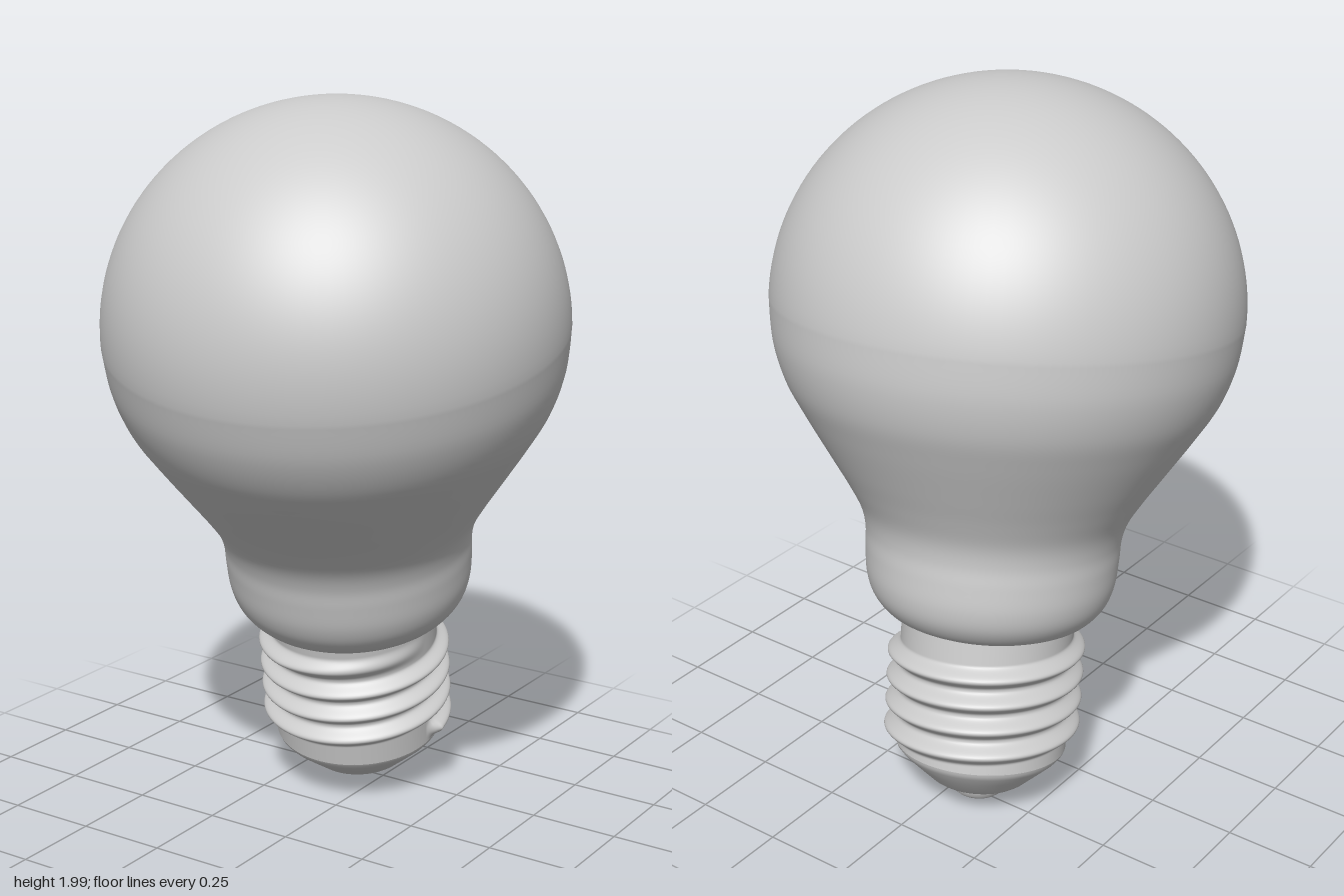
import * as THREE from 'three';
import { mergeVertices, toCreasedNormals } from 'three/addons/utils/BufferGeometryUtils.js';

const material = new THREE.MeshStandardMaterial({ color: 0xcccccc });
const TAU = Math.PI * 2;

function part(name, geometry) {
  const mesh = new THREE.Mesh(geometry, material);
  mesh.name = name;
  return mesh;
}

const vectors = (list) => list.map(([r, y]) => new THREE.Vector2(r, y));

// Glass envelope: rounded collar, flaring neck, slightly flattened globe
function glassGeometry() {
  const collarAndNeck = new THREE.SplineCurve(vectors([
    [0.24, 0.54], [0.283, 0.562], [0.32, 0.605], [0.339, 0.66], [0.345, 0.73],
    [0.348, 0.79], [0.365, 0.85], [0.405, 0.92], [0.457, 1.0], [0.528, 1.11],
    [0.58, 1.2], [0.613, 1.3], [0.626, 1.41],
  ])).getPoints(72);
  const points = [new THREE.Vector2(0.22, 0.538), ...collarAndNeck];
  for (let i = 1; i <= 36; i++) {
    const a = (i / 36) * Math.PI / 2;
    points.push(new THREE.Vector2(i === 36 ? 0 : 0.626 * Math.cos(a), 1.41 + 0.606 * Math.sin(a)));
  }
  return new THREE.LatheGeometry(points, 96);
}

// Screw shell: a cylinder pushed outwards along a right-hand helix of four turns
function threadGeometry() {
  const bottom = 0.165, top = 0.55, root = 0.237, height = 0.034;
  const start = 0.2, pitch = 0.073, turns = 4;
  const geo = new THREE.CylinderGeometry(1, 1, top - bottom, 128, 120, true, Math.PI / 2);
  geo.translate(0, (top + bottom) / 2, 0);
  const pos = geo.attributes.position, uv = geo.attributes.uv;
  for (let i = 0; i < pos.count; i++) {
    const turn = uv.getX(i), y = pos.getY(i);
    let bump = 0;
    for (let k = 0; k < turns; k++) {
      const t = turn + k;
      const d = Math.abs(y - start - pitch * t) / 0.035;
      // blunt start, long fade at the upper end
      const fade = Math.min(1, t / 0.015, (turns - t) / 0.3);
      if (d < 1) bump = Math.max(bump, fade * Math.cos(d * Math.PI / 2) ** 2);
    }
    const r = root + height * bump, a = turn * TAU;
    pos.setXYZ(i, r * Math.cos(a), y, -r * Math.sin(a));
  }
  geo.deleteAttribute('uv');
  geo.deleteAttribute('normal');
  const welded = mergeVertices(geo, 1e-5);
  welded.computeVertexNormals();
  return welded;
}

// Tapered insulator and rounded contact button under the screw shell
const insulatorProfile = [
  [0.07, 0.05], [0.125, 0.056], [0.14, 0.066], [0.19, 0.112], [0.222, 0.142], [0.234, 0.157], [0.237, 0.168],
];
const contactProfile = [
  [0, 0], [0.03, 0.002], [0.055, 0.009], [0.07, 0.02], [0.076, 0.035], [0.082, 0.048], [0.09, 0.058],
];

export function createModel() {
  const bulb = new THREE.Group();
  bulb.name = 'bulb';
  bulb.add(
    part('glassBulb', glassGeometry()),
    part('screwThread', threadGeometry()),
    part('insulator', toCreasedNormals(new THREE.LatheGeometry(vectors(insulatorProfile), 96), 0.6)),
    part('contact', new THREE.LatheGeometry(vectors(contactProfile), 64)),
  );

  // Lean the bulb so its base swings back and to the right of the globe
  const axis = new THREE.Vector3(0.06, 0.98, 0.187).normalize();
  bulb.quaternion.setFromUnitVectors(new THREE.Vector3(0, 1, 0), axis);
  bulb.position.set(0, 1.375, 0).addScaledVector(axis, -1.39);

  // Stand on the ground, centred
  const model = new THREE.Group();
  model.name = 'lightBulb';
  model.add(bulb);
  model.updateMatrixWorld(true);
  const box = new THREE.Box3().setFromObject(model, true);
  const centre = box.getCenter(new THREE.Vector3());
  bulb.position.sub(new THREE.Vector3(centre.x, box.min.y, centre.z));
  return model;
}
